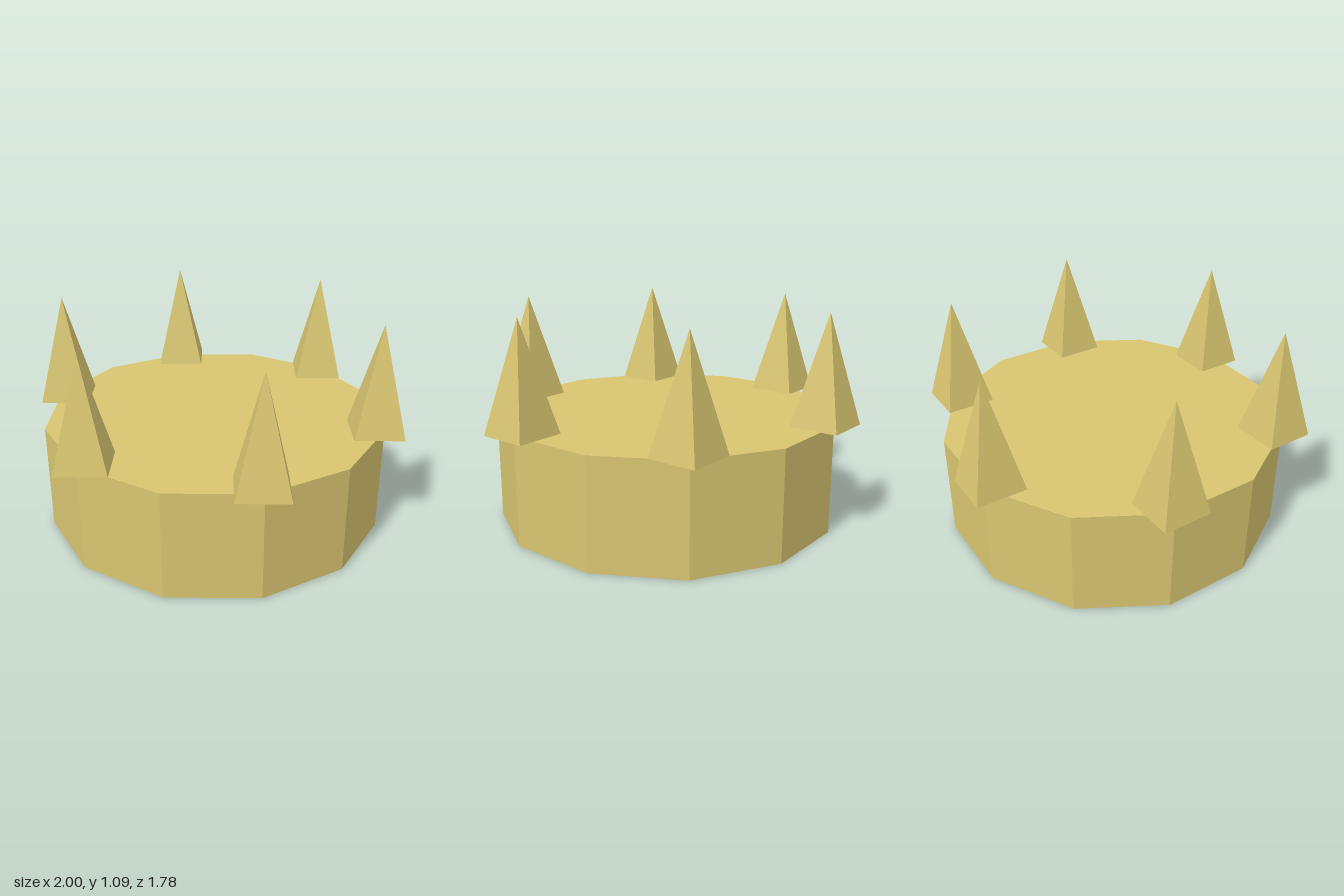
import * as THREE from 'three';

export function createModel() {
  const crown = new THREE.Group();
  crown.name = 'crown';

  const gold = new THREE.MeshStandardMaterial({ color: 0xd8c570, flatShading: true });
  gold.name = 'pale gold';

  const radius = 0.8696;
  const height = 0.5435;
  const spikeCount = 6;

  // Solid twelve-sided band
  const band = new THREE.Mesh(new THREE.CylinderGeometry(radius, radius, height, 12), gold);
  band.name = 'band';
  band.position.y = height / 2;
  crown.add(band);

  // Four-sided spikes standing around the rim, all facing the same way
  const spikeGeometry = new THREE.ConeGeometry(radius * 0.2, height, 4);
  for (let i = 0; i < spikeCount; i++) {
    const angle = (i / spikeCount) * Math.PI * 2;
    const spike = new THREE.Mesh(spikeGeometry, gold);
    spike.name = `spike${i + 1}`;
    spike.position.set(
      Math.cos(angle) * radius * 0.95,
      height * 1.5,
      Math.sin(angle) * radius * 0.95
    );
    crown.add(spike);
  }

  return crown;
}
